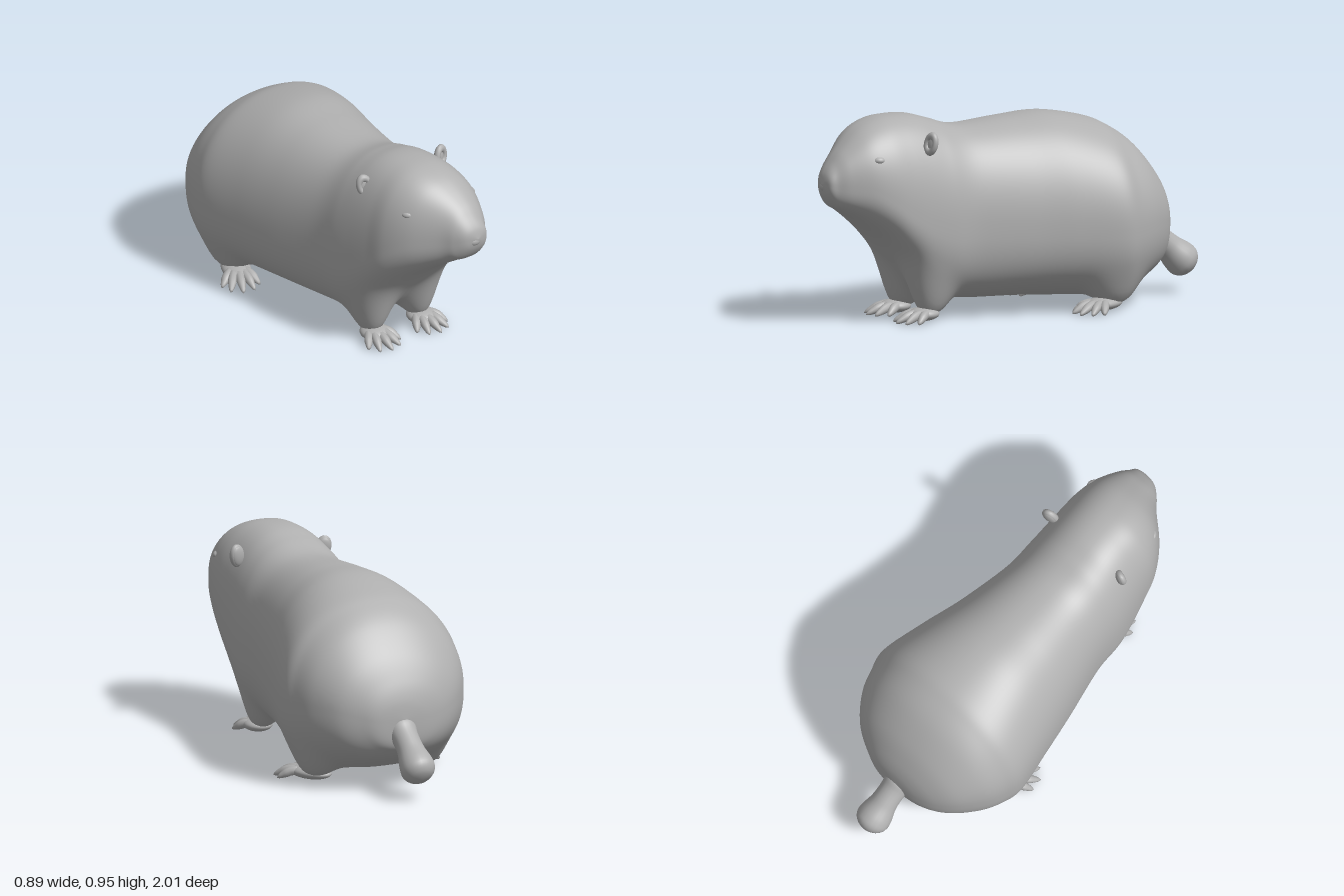
import * as THREE from 'three';
import { mergeVertices } from 'three/addons/utils/BufferGeometryUtils.js';

const fur = new THREE.MeshStandardMaterial({ color: 0xb0b0b0 });
fur.name = 'grey fur';

const V = (x, y, z) => new THREE.Vector3(x, y, z);

function part(name, geometry, parent) {
  const mesh = new THREE.Mesh(geometry, fur);
  mesh.name = name;
  parent.add(mesh);
  return mesh;
}

function ellipsoid(name, parent, pos, radii, rot = [0, 0, 0]) {
  const mesh = part(name, new THREE.SphereGeometry(1, 28, 20), parent);
  mesh.position.set(...pos);
  mesh.scale.set(...radii);
  mesh.rotation.set(...rot);
}

// Smooth value between neighbouring entries of a list
function spline(list, t) {
  const n = list.length - 1;
  const i = Math.min(Math.floor(t), n - 1), u = t - i;
  const at = (k) => list[Math.max(0, Math.min(n, k))];
  const [a, b, c, d] = [at(i - 1), at(i), at(i + 1), at(i + 2)];
  return b + 0.5 * u * (c - a + u * (2 * a - 5 * b + 4 * c - d + u * (3 * (b - c) + d - a)));
}

// Round limb along a path, with its radius following a list and rounded ends
function limb(name, parent, points, radii, segs, sides) {
  const curve = new THREE.CatmullRomCurve3(points);
  const geo = new THREE.TubeGeometry(curve, segs, 1, sides);
  const pos = geo.attributes.position, v = V(0, 0, 0);
  for (let i = 0; i <= segs; i++) {
    const t = i / segs, c = curve.getPointAt(t);
    const e = Math.min(1, 5 * t, 5 * (1 - t));
    const r = spline(radii, t * (radii.length - 1)) * Math.sqrt(Math.max(0, e * (2 - e)));
    for (let j = 0; j <= sides; j++) {
      const k = i * (sides + 1) + j;
      v.fromBufferAttribute(pos, k).sub(c).multiplyScalar(r).add(c);
      pos.setXYZ(k, v.x, v.y, v.z);
    }
  }
  geo.deleteAttribute('uv');
  geo.deleteAttribute('normal');
  const merged = mergeVertices(geo, 1e-5);
  merged.computeVertexNormals();
  part(name, merged, parent);
}

// Body sections from nose to rump:
// z, top, bottom, right x, left x, height of widest point
const SECTIONS = [
  [1.0, 0.68, 0.68, 0.08, 0.08, 0.68],
  [0.985, 0.73, 0.625, 0.02, 0.135, 0.68],
  [0.95, 0.78, 0.575, -0.025, 0.158, 0.67],
  [0.9, 0.835, 0.545, -0.07, 0.19, 0.66],
  [0.8, 0.915, 0.48, -0.18, 0.235, 0.64],
  [0.7, 0.955, 0.4, -0.245, 0.26, 0.58],
  [0.6, 0.965, 0.29, -0.27, 0.27, 0.51],
  [0.5, 0.958, 0.17, -0.29, 0.275, 0.46],
  [0.4, 0.93, 0.11, -0.305, 0.28, 0.43],
  [0.25, 0.89, 0.088, -0.315, 0.285, 0.43],
  [0.0, 0.905, 0.08, -0.37, 0.335, 0.41],
  [-0.2, 0.915, 0.07, -0.41, 0.39, 0.41],
  [-0.4, 0.88, 0.065, -0.445, 0.44, 0.41],
  [-0.5, 0.84, 0.075, -0.43, 0.42, 0.41],
  [-0.6, 0.77, 0.1, -0.39, 0.38, 0.42],
  [-0.7, 0.65, 0.15, -0.31, 0.3, 0.41],
  [-0.76, 0.54, 0.2, -0.22, 0.2, 0.38],
  [-0.79, 0.45, 0.25, -0.12, 0.12, 0.36],
  [-0.8, 0.36, 0.36, 0, 0, 0.36],
];

// Legs drawn down out of the underside: x, z, half width, half depth
const LEGS = [[0.132, 0.46, 0.085, 0.1], [0.275, -0.42, 0.092, 0.115]];

const bell = (v, centre, width) => Math.exp(-(((v - centre) / width) ** 2));

function bodyGeometry(sides = 96, steps = 8) {
  const columns = SECTIONS[0].map((_, c) => SECTIONS.map((row) => row[c]));
  const rows = (SECTIONS.length - 1) * steps;
  const pos = [], index = [];
  for (let i = 0; i <= rows; i++) {
    const [z, top, bottom, x0, x1, mid] = columns.map((col) => spline(col, i / steps));
    // Squarer below at the haunches and muzzle, squarer above at the head
    const low = 0.81 - 0.08 * bell(z, -0.42, 0.16) - 0.06 * bell(z, 0.94, 0.06);
    const high = 0.9 - 0.05 * Math.tanh(3 * z);
    for (let j = 0; j < sides; j++) {
      const a = (j / sides) * Math.PI * 2, c = Math.cos(a), s = Math.sin(a);
      const e = s < 0 ? low : high;
      const x = (x0 + x1) / 2 + ((x1 - x0) / 2) * Math.sign(c) * Math.abs(c) ** e;
      let y = mid + (s < 0 ? mid - bottom : top - mid) * Math.sign(s) * Math.abs(s) ** e;
      for (const [lx, lz, w, d] of LEGS) {
        const r = Math.hypot((Math.abs(x) - lx) / w, (z - lz) / d);
        const pull = Math.exp(-(r ** 3)) * Math.min(1, Math.max(0, -2 * s));
        y += (Math.min(y, 0.045) - y) * pull;
      }
      pos.push(x, y, z);
      if (i < rows) {
        const p = i * sides + j, q = i * sides + ((j + 1) % sides);
        index.push(p, p + sides, q, q, p + sides, q + sides);
      }
    }
  }
  const geo = new THREE.BufferGeometry();
  geo.setAttribute('position', new THREE.Float32BufferAttribute(pos, 3));
  geo.setIndex(index);
  const merged = mergeVertices(geo, 1e-5);
  merged.computeVertexNormals();
  return merged;
}

// Flat paw with five fanned, clawed toes, pointing along its own +z
function foot(name, parent, x, z, yaw, heel) {
  const g = new THREE.Group();
  g.name = name;
  g.position.set(x, 0, z);
  g.rotation.y = yaw;
  parent.add(g);
  ellipsoid('palm', g, [0, 0.047, 0.035 - heel / 2], [0.068, 0.032, 0.075 + heel / 2]);
  for (let k = -2; k <= 2; k++) {
    const a = k * 0.3, len = 0.185 - 0.011 * k * k;
    const at = (f, y) => V(Math.sin(a) * len * f + k * 0.005, y, Math.cos(a) * len * f);
    limb('toe', g, [at(0.2, 0.05), at(0.55, 0.047), at(0.8, 0.03), at(1, 0.014)],
      [0.022, 0.022, 0.021, 0.02, 0.014, 0.009], 14, 10);
  }
}

export function createModel() {
  const model = new THREE.Group();
  model.name = 'burrowing rodent';

  part('bodyAndLegs', bodyGeometry(), model);

  // Face: nose and closed eyelids
  ellipsoid('nose', model, [0.072, 0.668, 0.978], [0.034, 0.024, 0.022]);
  ellipsoid('rightEyelid', model, [-0.149, 0.79, 0.77], [0.035, 0.02, 0.03], [0, -0.7, 0]);
  ellipsoid('leftEyelid', model, [0.196, 0.79, 0.77], [0.035, 0.02, 0.03], [0, 0.7, 0]);

  for (const s of [-1, 1]) {
    const side = s < 0 ? 'right' : 'left';

    // Ear: cupped disc with a soft raised rim
    const ear = new THREE.Group();
    ear.name = side + 'Ear';
    ear.position.set(s < 0 ? -0.205 : 0.231, s < 0 ? 0.842 : 0.85, 0.51);
    ear.rotation.set(-0.1, s * 0.3, -s * 0.2);
    model.add(ear);
    ellipsoid('earDish', ear, [0, 0, -0.008], [0.034, 0.05, 0.016]);
    const rim = part('earRim', new THREE.TorusGeometry(0.026, 0.013, 12, 28), ear);
    rim.scale.set(1, 1.45, 1.2);

    foot(side + 'FrontFoot', model, s * 0.132, 0.46, s * 0.04, 0);
    foot(side + 'HindFoot', model, s * 0.28, -0.365, s * 0.45, 0.08);
  }

  // Stubby tail, narrow at the root and swollen at the tip
  limb('tail', model,
    [V(0, 0.33, -0.72), V(0, 0.255, -0.83), V(0, 0.185, -0.91), V(0, 0.12, -0.985)],
    [0.09, 0.064, 0.063, 0.08, 0.08], 36, 22);

  return model;
}
